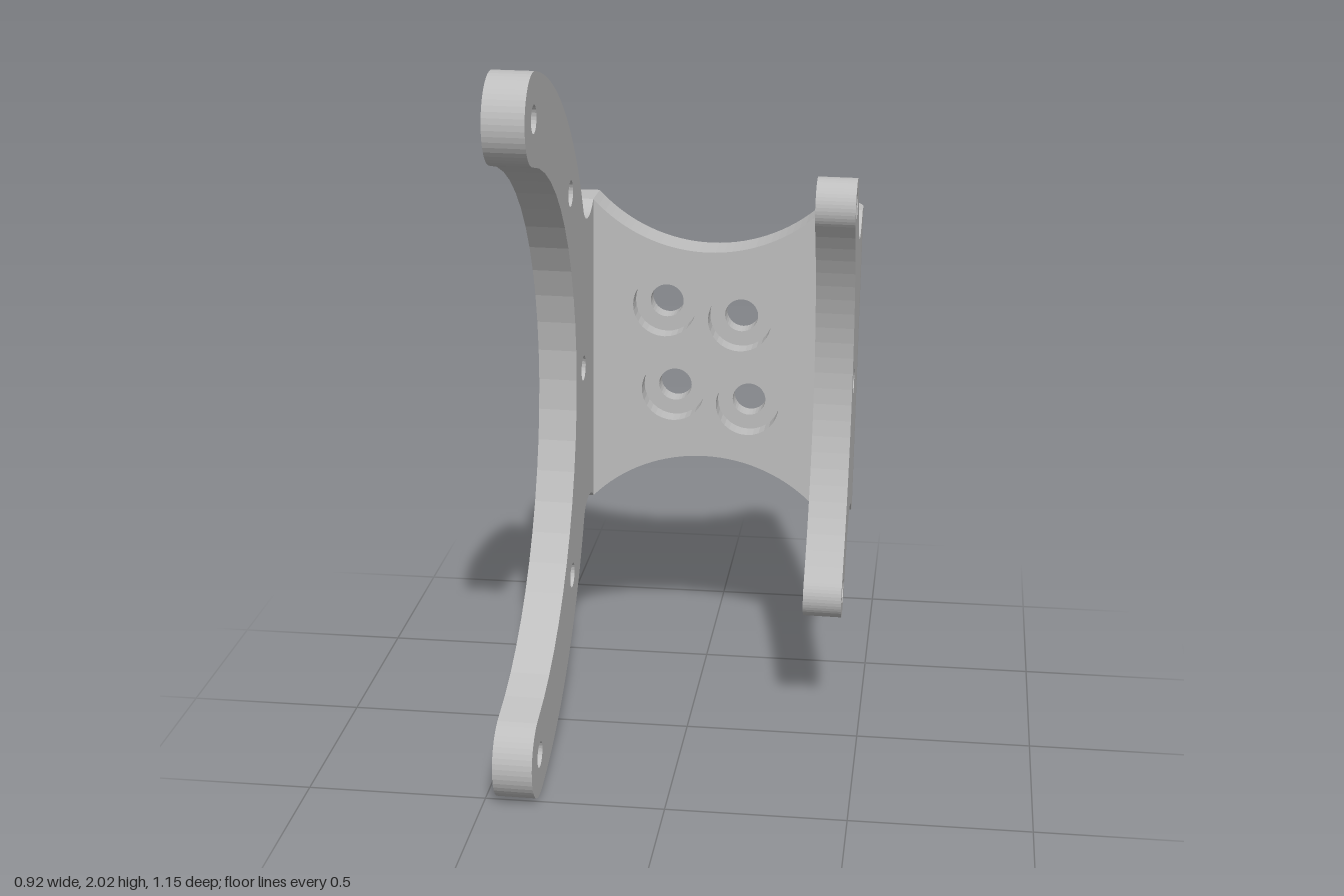
import * as THREE from 'three';
import { toCreasedNormals } from 'three/addons/utils/BufferGeometryUtils.js';

const IN = 0.342, OUT = 0.452;        // inner and outer x of the side plates
const BACK = -0.575, WALL = -0.457;   // rear and front z of the back wall
const HALF = 0.468;                   // half height of the corners
const CX = -0.6245, MID = 0.9045;     // centre and mid radius of the arms

function extrude(shape, depth, curveSegments = 12) {
  return new THREE.ExtrudeGeometry(shape, { depth, bevelEnabled: false, curveSegments });
}

function addHole(shape, x, y, r) {
  const hole = new THREE.Path();
  hole.absarc(x, y, r, 0, Math.PI * 2, true);
  shape.holes.push(hole);
}

// C-shaped side plate, drawn with shape x = -z
// a: end angle of the arm, b: angle where the fillet starts, w: half width
function plateGeometry({ a, b, w, control, dip, holes }) {
  const s = new THREE.Shape();
  const at = (t, r) => [CX + r * Math.cos(t), r * Math.sin(t)];
  const R = MID + w;
  s.moveTo(-WALL, -HALF);
  s.lineTo(-WALL, HALF);
  s.quadraticCurveTo(dip[0] + 0.055, dip[1], dip[0], dip[1]);
  s.quadraticCurveTo(control[0], control[1], ...at(b, R));
  s.absarc(CX, 0, R, b, a, false);
  s.absarc(...at(a, MID), w, a, a + Math.PI, false);
  s.absarc(CX, 0, MID - w, a, -a, true);
  s.absarc(...at(-a, MID), w, Math.PI - a, 2 * Math.PI - a, false);
  s.absarc(CX, 0, R, -a, -b, false);
  s.quadraticCurveTo(control[0], -control[1], dip[0], -dip[1]);
  s.quadraticCurveTo(dip[0] + 0.055, -dip[1], -WALL, -HALF);
  for (const t of holes) addHole(s, ...at(t, MID), 0.037);
  return extrude(s, OUT - IN).rotateY(Math.PI / 2);
}

// Back wall layer with scooped top and bottom edges and four holes
function wallGeometry(holeRadius, depth) {
  const s = new THREE.Shape();
  const sag = HALF - 0.32;
  const R = (IN * IN + sag * sag) / (2 * sag);
  const c = 0.32 + R, h = Math.asin(IN / R);
  s.moveTo(-IN, -HALF);
  s.absarc(0, -c, R, Math.PI / 2 + h, Math.PI / 2 - h, true);
  s.lineTo(IN, HALF);
  s.absarc(0, c, R, -Math.PI / 2 + h, -Math.PI / 2 - h, true);
  s.lineTo(-IN, -HALF);
  for (const k of [-1, 1]) {
    addHole(s, -0.127 * k, 0.15 * k, holeRadius);
    addHole(s, 0.099 * k, 0.114 * k, holeRadius);
  }
  return extrude(s, depth, 16);
}

// Vertical corner block with a rounded outer edge, drawn with shape y = -z
function cornerGeometry(side) {
  const s = new THREE.Shape(), r = 0.075;
  s.moveTo(side * IN, -WALL);
  s.lineTo(side * OUT, -WALL);
  s.lineTo(side * OUT, -BACK - r);
  s.absarc(side * (OUT - r), -BACK - r, r, side > 0 ? 0 : Math.PI, Math.PI / 2, side < 0);
  s.lineTo(side * IN, -BACK);
  const g = extrude(s, 2 * HALF).rotateX(-Math.PI / 2).translate(0, -HALF, 0);
  return toCreasedNormals(g, 0.3);
}

export function createModel() {
  const metal = new THREE.MeshStandardMaterial({ color: 0xbebebe });
  metal.name = 'grey metal';

  const bracket = new THREE.Group();
  bracket.name = 'bracket';
  const add = (name, geometry, x = 0, z = 0) => {
    const mesh = new THREE.Mesh(geometry, metal);
    mesh.name = name;
    mesh.position.set(x, 0, z);
    bracket.add(mesh);
  };

  // Side plates: long arms on the right, short arms on the left
  const long = 1.38, short = 0.687;
  add('longArmPlate', plateGeometry({
    a: long, b: 0.488, w: 0.12, control: [0.305, 0.435], dip: [0.365, 0.435],
    holes: [-long, -short, 0, short, long],
  }), -OUT);
  add('shortArmPlate', plateGeometry({
    a: short, b: 0.6, w: 0.075, control: [0.26, 0.415], dip: [0.345, 0.412],
    holes: [-short, 0, short],
  }), IN);

  // Back wall: wide counterbores in front of narrow through holes
  const bore = 0.06, thickness = WALL - BACK;
  add('backWallRear', wallGeometry(0.05, thickness - bore), 0, BACK);
  add('backWallFront', wallGeometry(0.095, bore), 0, WALL - bore);

  // Rounded corners joining wall and plates
  add('leftCorner', cornerGeometry(1));
  add('rightCorner', cornerGeometry(-1));

  // The whole bracket leans very slightly
  bracket.rotation.z = -0.0125;
  bracket.position.y = 0.995;

  const model = new THREE.Group();
  model.name = 'model';
  model.add(bracket);
  return model;
}
